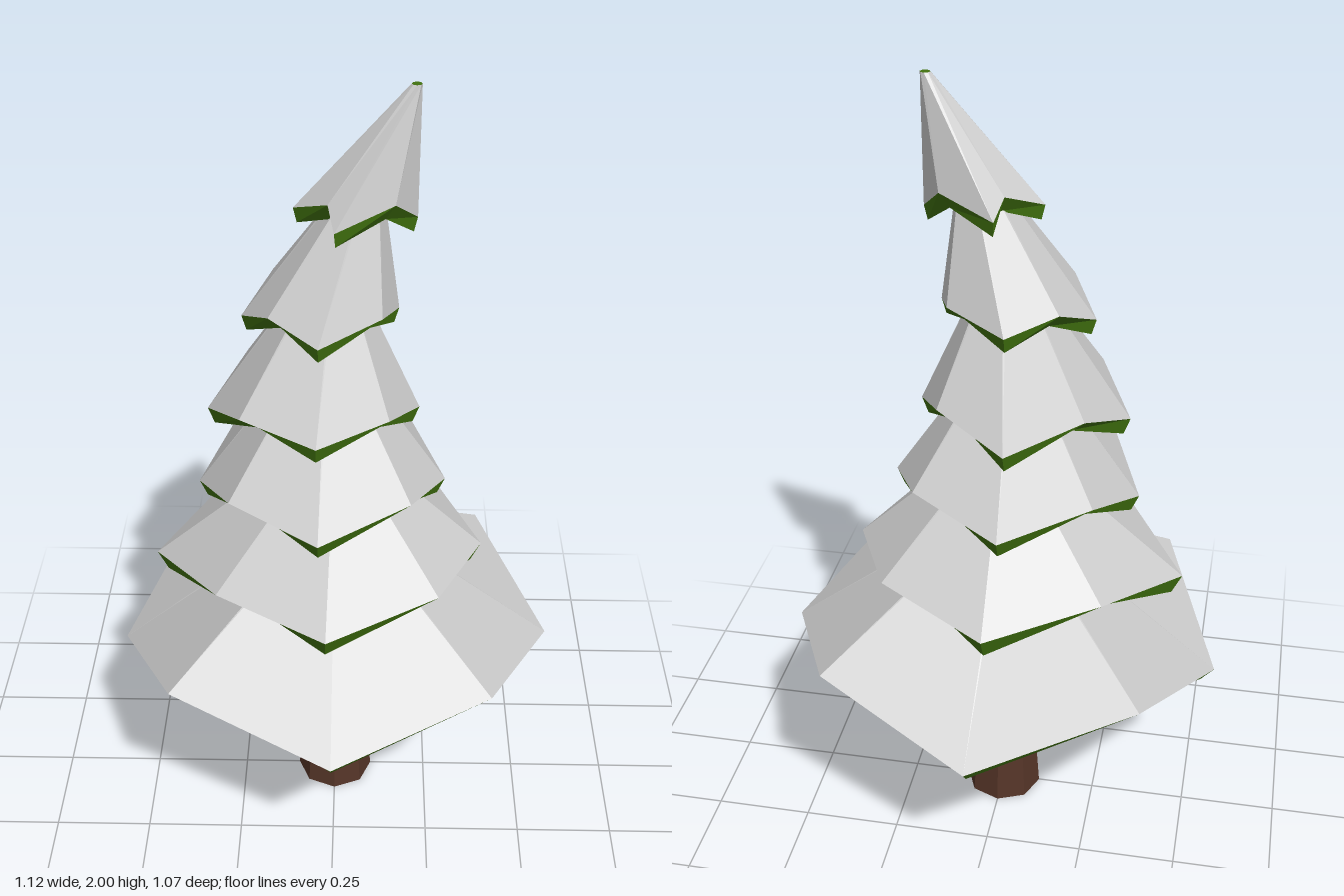
import * as THREE from 'three';

const snowMat = new THREE.MeshStandardMaterial({ color: 0xcccccc, flatShading: true });
const greenMat = new THREE.MeshStandardMaterial({ color: 0x41720f, flatShading: true });
const barkMat = new THREE.MeshStandardMaterial({ color: 0x553528, flatShading: true });

// x: left tip, left diagonal, middle, right diagonal, right tip
// z: back tip, diagonal, front tip
// y: left tip, right tip, back tip, front tip, diagonals
// drop: thickness at the tips and at the diagonals
const tiers = [
  { x: [-0.56, -0.4, 0, 0.39, 0.56], z: [-0.535, 0.385, 0.535], y: [0.455, 0.49, 0.465, 0.49, 0.595], drop: [0.036, 0.095], apex: [0, 0.91] },
  { x: [-0.46, -0.285, -0.015, 0.257, 0.375], z: [-0.385, 0.26, 0.403], y: [0.74, 0.78, 0.75, 0.775, 0.805], drop: [0.052, 0.06], apex: [0, 1.12] },
  { x: [-0.34, -0.25, -0.035, 0.185, 0.275], z: [-0.29, 0.205, 0.305], y: [0.965, 0.98, 0.97, 0.985, 1.04], drop: [0.042, 0.05], apex: [-0.02, 1.4] },
  { x: [-0.31, -0.22, -0.04, 0.13, 0.205], z: [-0.235, 0.167, 0.225], y: [1.18, 1.19, 1.175, 1.205, 1.25], drop: [0.042, 0.045], apex: [0, 1.62] },
  { x: [-0.22, -0.15, -0.035, 0.11, 0.15], z: [-0.195, 0.125, 0.19], y: [1.435, 1.46, 1.46, 1.45, 1.495], drop: [0.038, 0.04], apex: [0.085, 1.84] },
  { x: [-0.095, -0.015, 0, 0.135, 0.187], z: [-0.13, 0.075, 0.127], y: [1.71, 1.69, 1.71, 1.705, 1.75], drop: [0.036, 0.04], apex: [0.176, 2] },
];

// Eight rim points, running from +x towards -z
function rimOf({ x, z, y }) {
  return [
    [x[4], y[1], 0], [x[3], y[4], -z[1]], [x[2], y[2], z[0]], [x[1], y[4], -z[1]],
    [x[0], y[0], 0], [x[1], y[4], z[1]], [x[2], y[3], z[2]], [x[3], y[4], z[1]],
  ].map((p) => new THREE.Vector3(...p));
}

// Quads between a lower and an upper ring, facing outwards
function band(low, high) {
  const pts = [];
  low.forEach((a, i) => {
    const j = (i + 1) % low.length;
    pts.push(a, low[j], high[j], a, high[j], high[i]);
  });
  return pts;
}

function meshOf(points, material, name) {
  const geo = new THREE.BufferGeometry().setFromPoints(points);
  geo.computeVertexNormals();
  const mesh = new THREE.Mesh(geo, material);
  mesh.name = name;
  return mesh;
}

function makeTier(t, index) {
  const group = new THREE.Group();
  group.name = `branchTier${index + 1}`;
  const rim = rimOf(t);
  const tip = rim.map((_, i) => {
    const a = (i * Math.PI) / 4;
    return new THREE.Vector3(t.apex[0] + 0.012 * Math.cos(a), t.apex[1], -0.012 * Math.sin(a));
  });
  const midX = (t.x[0] + t.x[4]) / 2;
  // Lower rim is drawn in more at the raised diagonals
  const low = rim.map((p, i) => {
    const s = i % 2 ? 0.76 : 0.94;
    return new THREE.Vector3(midX + (p.x - midX) * s, p.y - t.drop[i % 2], p.z * s);
  });
  const hollow = new THREE.Vector3(midX, t.y[4] - t.drop[1] + 0.05, 0);
  const green = band(low, rim);
  low.forEach((p, i) => green.push(low[(i + 1) % 8], p, hollow));
  group.add(meshOf(band(rim, tip), snowMat, 'snow'), meshOf(green, greenMat, 'needles'));
  return group;
}

export function createModel() {
  const tree = new THREE.Group();
  tree.name = 'snowyFirTree';

  const trunk = new THREE.Mesh(new THREE.CylinderGeometry(0.057, 0.1, 0.6, 8), barkMat);
  trunk.name = 'trunk';
  trunk.position.y = 0.3;
  tree.add(trunk);

  tiers.forEach((t, i) => tree.add(makeTier(t, i)));

  // Small green tip left bare of snow
  const top = new THREE.Mesh(new THREE.CircleGeometry(0.012, 8), greenMat);
  top.name = 'treeTip';
  top.rotation.x = -Math.PI / 2;
  top.position.set(0.176, 2, 0);
  tree.add(top);

  return tree;
}
